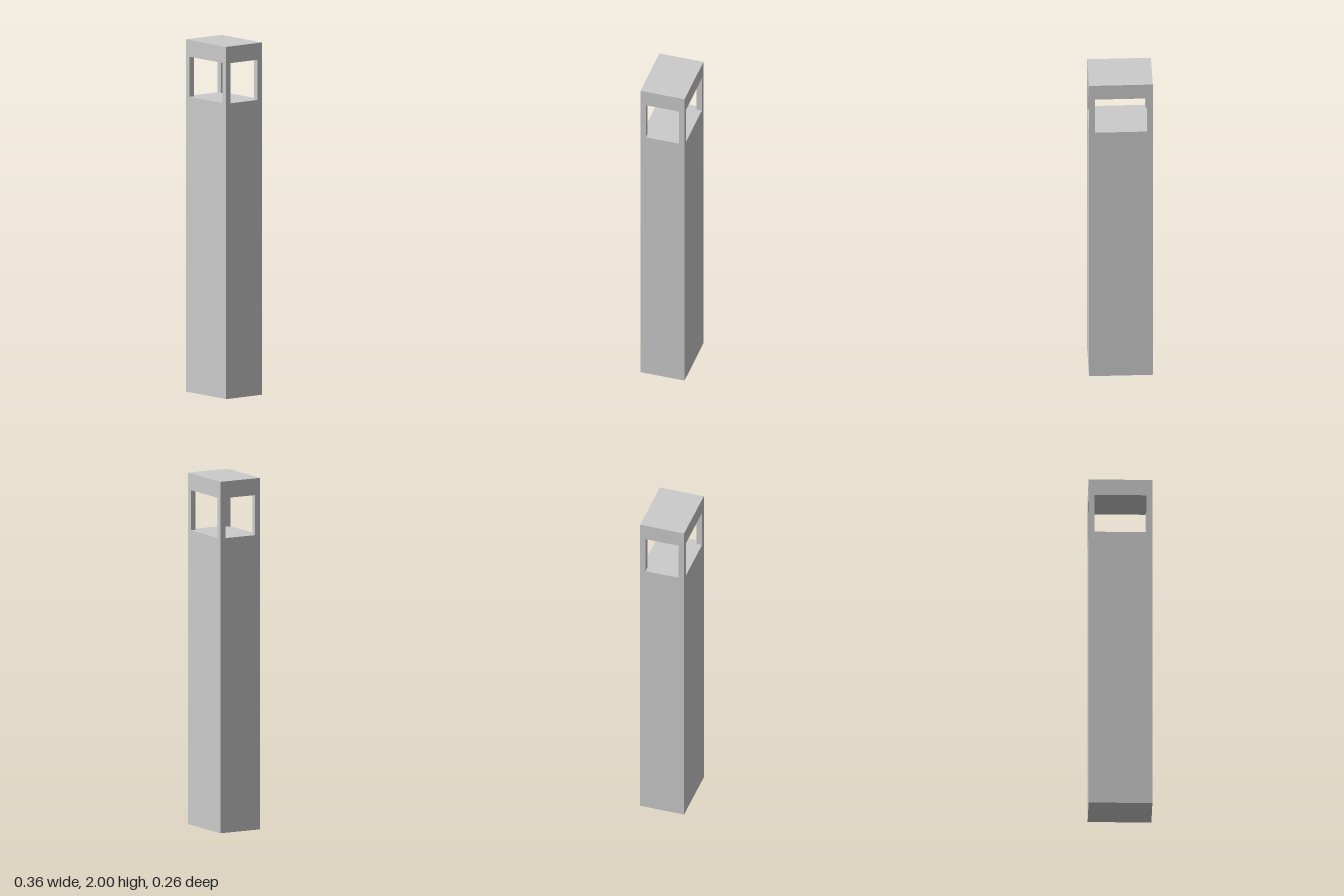
import * as THREE from 'three';

const W = 0.358, D = 0.259, H = 2;        // overall size
const SILL = 1.677, LINTEL = 1.905;       // bottom and top of the lantern opening
const POST = 0.032;                       // square corner post

export function createModel() {
  const group = new THREE.Group();
  const material = new THREE.MeshStandardMaterial({ color: 0xcccccc, flatShading: true });

  // Box spanning y0..y1, centred on (x, z)
  const addBox = (name, w, d, y0, y1, x = 0, z = 0) => {
    const mesh = new THREE.Mesh(new THREE.BoxGeometry(w, y1 - y0, d), material);
    mesh.name = name;
    mesh.position.set(x, (y0 + y1) / 2, z);
    group.add(mesh);
  };

  // Solid column and flat cap
  addBox('column', W, D, 0, SILL);
  addBox('cap', W, D, LINTEL, H);

  // Four corner posts carrying the cap
  for (const [sx, xName] of [[1, 'Left'], [-1, 'Right']]) {
    for (const [sz, zName] of [[1, 'front'], [-1, 'back']]) {
      addBox(`${zName}${xName}Post`, POST, POST, SILL, LINTEL,
        sx * (W - POST) / 2, sz * (D - POST) / 2);
    }
  }

  return group;
}
